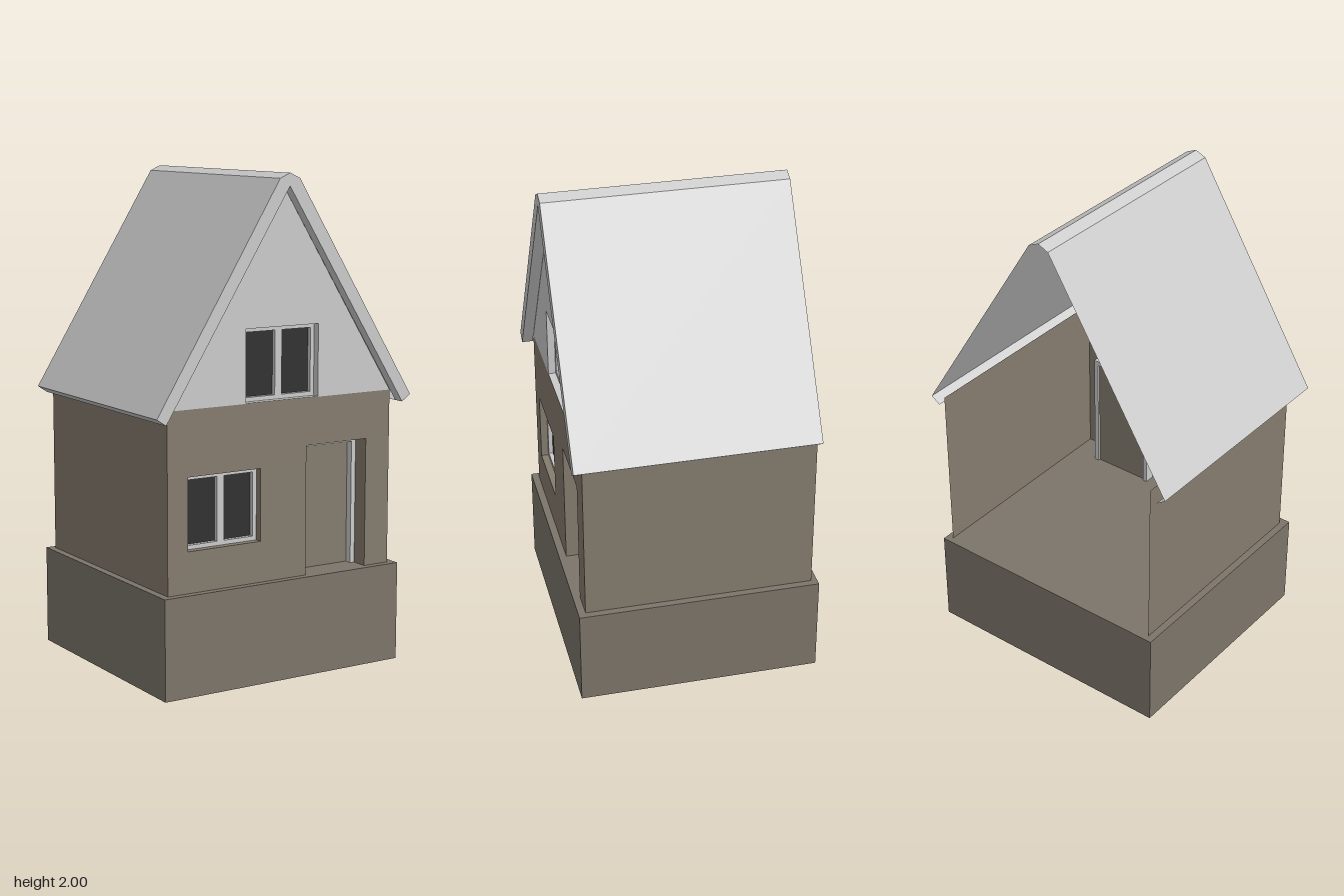
import * as THREE from 'three';

const material = (color) =>
  new THREE.MeshStandardMaterial({ color, side: THREE.DoubleSide, flatShading: true });

// Closed outline of a rectangle
const rect = (x0, y0, x1, y1) => [[x0, y0], [x1, y0], [x1, y1], [x0, y1]];
const toPoints = (pts) => pts.map(([x, y]) => new THREE.Vector2(x, y));

function makeShape(outline, holes = []) {
  const shape = new THREE.Shape(toPoints(outline));
  holes.forEach((h) => shape.holes.push(new THREE.Path(toPoints(h))));
  return shape;
}

// Flat upright sheet at depth z
function sheet(outline, holes, z) {
  return new THREE.ShapeGeometry(makeShape(outline, holes)).translate(0, 0, z);
}

// Strip that follows a 2D path and runs from z0 to z1
function strip(path, z0, z1, closed = false) {
  const pos = [];
  const n = closed ? path.length : path.length - 1;
  for (let i = 0; i < n; i++) {
    const [ax, ay] = path[i];
    const [bx, by] = path[(i + 1) % path.length];
    pos.push(ax, ay, z0, ax, ay, z1, bx, by, z1, ax, ay, z0, bx, by, z1, bx, by, z0);
  }
  const g = new THREE.BufferGeometry();
  g.setAttribute('position', new THREE.Float32BufferAttribute(pos, 3));
  g.computeVertexNormals();
  return g;
}

export function createModel() {
  const house = new THREE.Group();
  house.name = 'house';
  const grey = material(0xcccccc);
  const wallMat = material(0x857c6e);
  const baseMat = material(0x7c756a);
  const glassMat = material(0x303030);

  const add = (parent, name, geometry, mat) => {
    const mesh = new THREE.Mesh(geometry, mat);
    mesh.name = name;
    parent.add(mesh);
    return mesh;
  };

  const FLOOR = 0.405, EAVE = 1.12, FRONT = 0.46, BACK = -0.48, W = 0.52;

  // Hollow plinth: four thin sides and the floor, open below
  const plinth = new THREE.Group();
  plinth.name = 'plinth';
  house.add(plinth);
  const plinthPath = [[-0.55, 0], [-0.55, FLOOR], [0.55, FLOOR], [0.55, 0]];
  add(plinth, 'plinthSidesAndFloor', strip(plinthPath, -0.505, 0.49), baseMat);
  for (const [name, z] of [['plinthFront', 0.49], ['plinthBack', -0.505]])
    add(plinth, name, sheet(rect(-0.55, 0, 0.55, FLOOR), [], z), baseMat);

  // Openings in the facade
  const lower = [-0.43, 0.57, -0.1, 0.86];
  const upper = [-0.168, 1.122, 0.168, 1.41];
  const door = [0.115, FLOOR, 0.405, 0.93];

  // Thin walls; the back is open
  const doorNotch = [[-W, FLOOR], [door[0], FLOOR], [door[0], door[3]], [door[2], door[3]],
    [door[2], FLOOR], [W, FLOOR], [W, EAVE], [-W, EAVE]];
  add(house, 'frontWall', sheet(doorNotch, [rect(...lower)], FRONT), wallMat);
  for (const s of [1, -1])
    add(house, s > 0 ? 'leftWall' : 'rightWall',
      strip([[s * W, FLOOR], [s * W, EAVE]], BACK, FRONT), wallMat);
  add(house, 'gable',
    sheet([[-W, EAVE], [W, EAVE], [0, 1.95]], [rect(...upper)], FRONT), grey);

  // Roof shell with chamfered ridge and turned-in eaves, open at the back
  const roof = new THREE.Group();
  roof.name = 'roof';
  house.add(roof);
  const outer = [[-0.55, 1.075], [-0.59, 1.102], [-0.045, 1.98], [0, 2],
    [0.045, 1.98], [0.59, 1.102], [0.55, 1.075]];
  const inner = [[0.55, 1.075], [0, 1.95], [-0.55, 1.075]];
  add(roof, 'roofShell', strip(outer, BACK, 0.505), grey);
  add(roof, 'vergeBoard', sheet([...outer, [0, 1.95]], [], 0.505), grey);
  add(roof, 'vergeUnderside', strip(inner, FRONT, 0.505), grey);

  // Recessed two-pane windows
  const addWindow = (name, [x0, y0, x1, y1], revealMat) => {
    const g = new THREE.Group();
    g.name = name;
    house.add(g);
    add(g, 'windowReveal', strip(rect(x0, y0, x1, y1), 0.4, FRONT, true), revealMat);
    const t = 0.017, mid = (x0 + x1) / 2;
    const panes = [rect(x0 + t, y0 + t, mid - 0.016, y1 - t),
      rect(mid + 0.016, y0 + t, x1 - t, y1 - t)];
    const frame = new THREE.ExtrudeGeometry(makeShape(rect(x0, y0, x1, y1), panes),
      { depth: 0.03, bevelEnabled: false });
    add(g, 'windowFrame', frame.translate(0, 0, 0.4), grey);
    panes.forEach((p) => add(g, 'glassPane', sheet(p, [], 0.412), glassMat));
  };
  addWindow('lowerWindow', lower, wallMat);
  addWindow('upperWindow', upper, grey);

  // Door set deep in its reveal
  const doorway = new THREE.Group();
  doorway.name = 'doorway';
  house.add(doorway);
  const [x0, y0, x1, y1] = door;
  const t = 0.02;
  const jambs = [[x0, y0], [x0, y1], [x1, y1], [x1, y0]];
  add(doorway, 'doorReveal', strip(jambs, 0.385, FRONT), wallMat);
  const frameOutline = [...jambs, [x1 - t, y0], [x1 - t, y1 - t], [x0 + t, y1 - t], [x0 + t, y0]];
  const frame = new THREE.ExtrudeGeometry(makeShape(frameOutline), { depth: 0.04, bevelEnabled: false });
  add(doorway, 'doorFrame', frame.translate(0, 0, 0.35), grey);
  add(doorway, 'doorPanel', sheet(rect(x0 + t, y0, x1 - t, y1 - t), [], 0.36), wallMat);

  return house;
}
